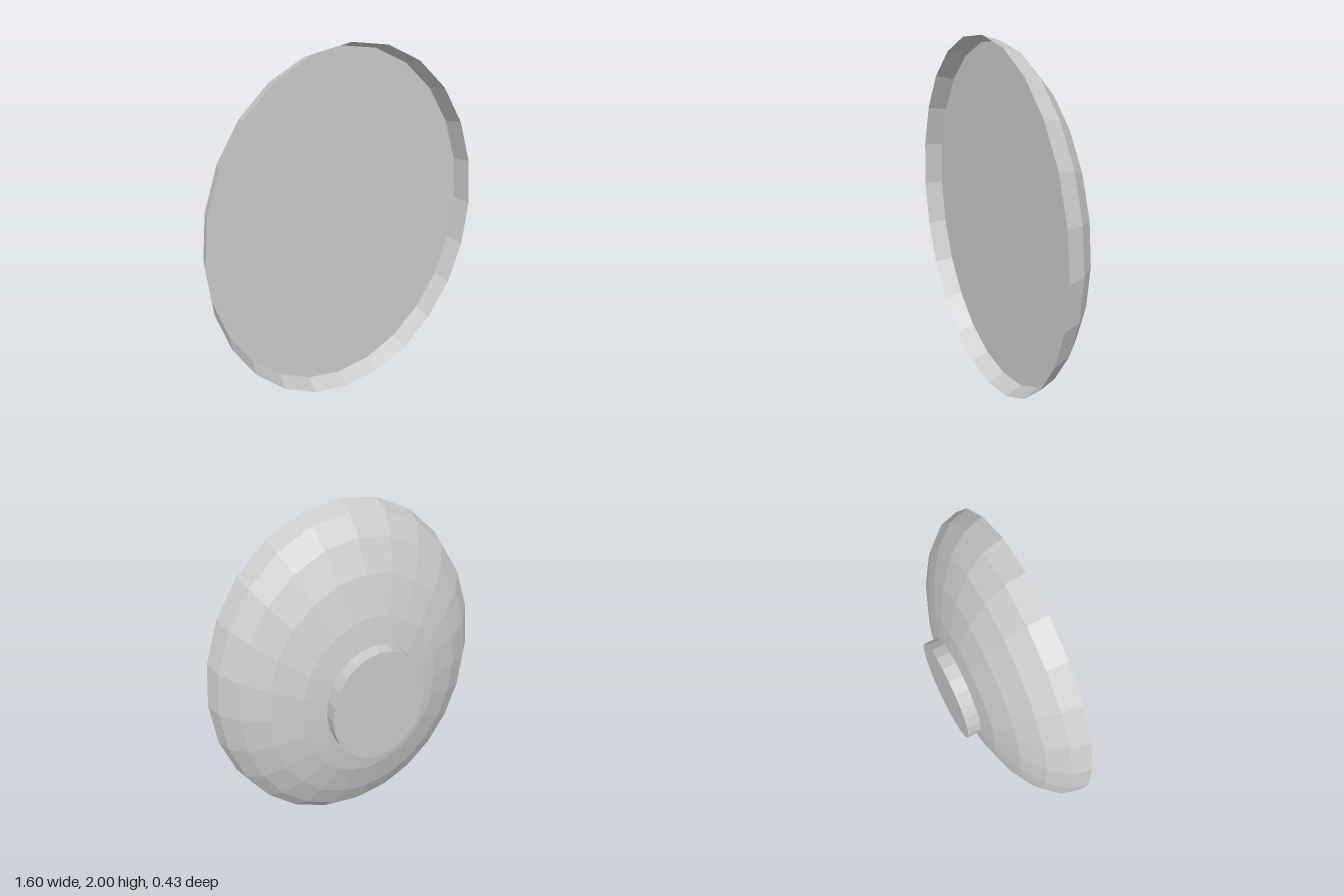
import * as THREE from 'three';

const SIDES = 24;
const FRONT = 0.215, BACK = -0.215;

export function createModel() {
  const group = new THREE.Group();
  group.name = 'ovalDish';
  const material = new THREE.MeshStandardMaterial({
    color: 0xcccccc, flatShading: true, side: THREE.DoubleSide,
  });

  // Every part is round about z, then squeezed to an upright oval
  const add = (name, geometry, z = 0) => {
    geometry.scale(0.8, 1, 1).translate(0, 1, z);
    const mesh = new THREE.Mesh(geometry, material);
    mesh.name = name;
    group.add(mesh);
  };

  // Domed shell: rings every 15 degrees, ending at the base
  const profile = [new THREE.Vector2(0.342, -0.14)];
  for (let i = 4; i >= 0; i--) {
    const a = i * Math.PI / 12;
    profile.push(new THREE.Vector2(Math.cos(a), FRONT - 0.385 * Math.sin(a)));
  }
  add('shell', new THREE.LatheGeometry(profile, SIDES).rotateX(Math.PI / 2));

  // Flat front panel, set back inside the rim at the second ring
  add('frontPanel', new THREE.CircleGeometry(Math.cos(Math.PI / 12), SIDES), 0.115);

  // Short base on the back
  const depth = -0.135 - BACK;
  add('base', new THREE.CylinderGeometry(0.342, 0.342, depth, SIDES).rotateX(Math.PI / 2), BACK + depth / 2);

  return group;
}
